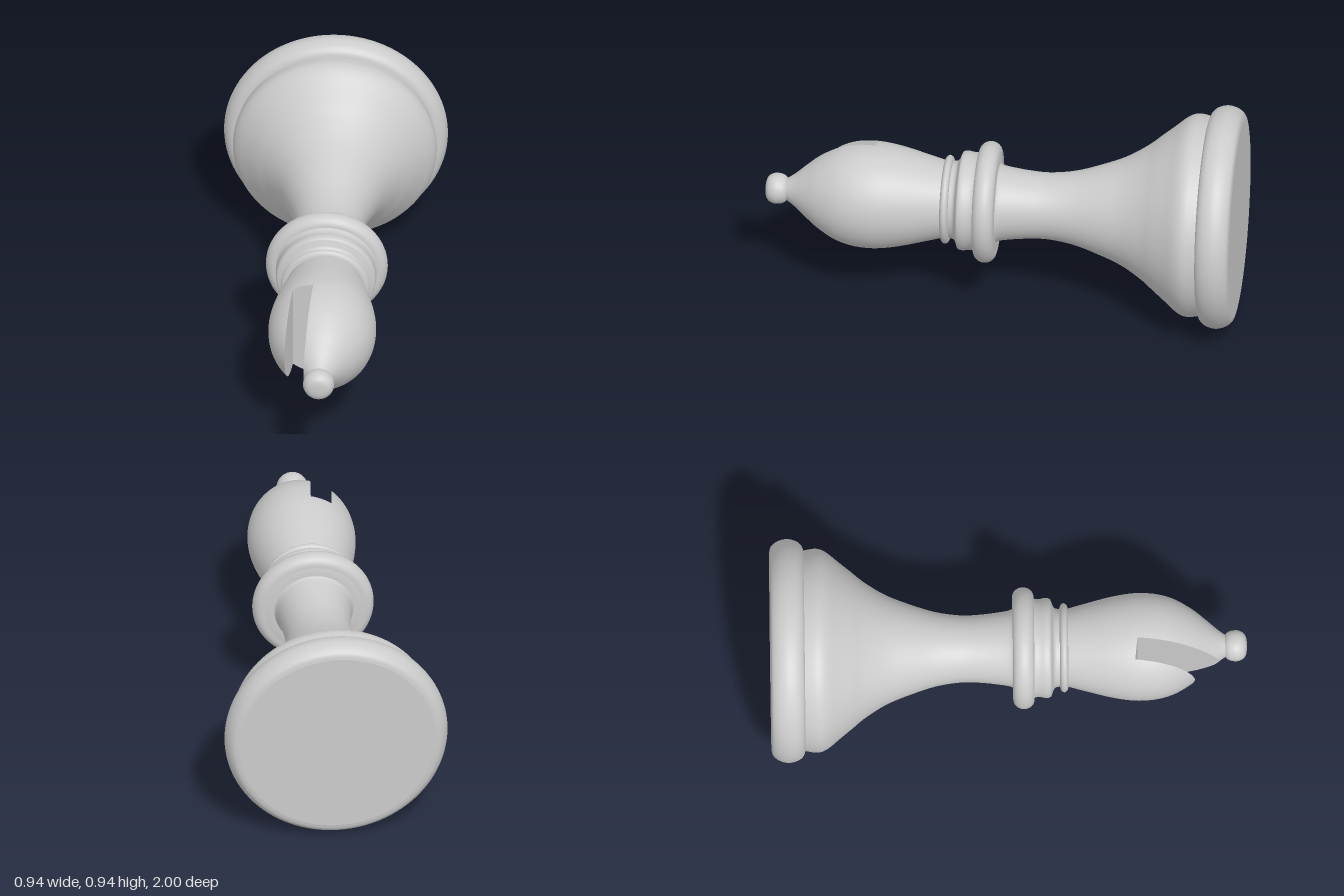
import * as THREE from 'three';

const AXIS_Y = 0.471;
const material = new THREE.MeshStandardMaterial({ color: 0xcccccc, side: THREE.DoubleSide });

// Head outline as [z, radius], read with smooth Hermite interpolation
const HEAD = [[0.24, 0.162], [0.27, 0.17], [0.33, 0.186], [0.42, 0.209], [0.5, 0.223], [0.56, 0.226], [0.63, 0.219],
  [0.7, 0.197], [0.775, 0.153], [0.83, 0.109], [0.88, 0.067], [0.92, 0.04]];

function headRadius(z) {
  const last = HEAD.length - 1;
  const slope = i => {
    const a = HEAD[Math.max(i - 1, 0)], b = HEAD[Math.min(i + 1, last)];
    return (b[1] - a[1]) / (b[0] - a[0]);
  };
  let i = 0;
  while (i < last - 1 && z > HEAD[i + 1][0]) i++;
  const [z0, r0] = HEAD[i], [z1, r1] = HEAD[i + 1];
  const h = z1 - z0, t = THREE.MathUtils.clamp((z - z0) / h, 0, 1), t2 = t * t, t3 = t2 * t;
  return (2 * t3 - 3 * t2 + 1) * r0 + (t3 - 2 * t2 + t) * h * slope(i)
    + (3 * t2 - 2 * t3) * r1 + (t3 - t2) * h * slope(i + 1);
}

// Slot: two leaning side planes and a tilted floor
const FLOOR = 0.545, TILT = 0.12, TOP = 0.915, BOTTOM = 0.24;
const slotOuter = z => -0.124 - 0.105 * (z - 0.53);
const slotInner = z => -0.038 - 0.084 * (z - 0.54);

// Slices are tilted like the floor at the slot and level at both ends
const tiltAt = t => TILT * (t < FLOOR ? (t - BOTTOM) / (FLOOR - BOTTOM) : (TOP - t) / (TOP - FLOOR));

// Point on the head skin, on slice t at an angle around the axis
function skinPoint(t, angle) {
  let z = t;
  for (let i = 0; i < 12; i++) z = t + tiltAt(t) * headRadius(z) * Math.cos(angle);
  const r = headRadius(z);
  return new THREE.Vector3(r * Math.cos(angle), r * Math.sin(angle), z);
}

// Angle at which slice t meets a slot side
function slotAngle(t, side) {
  let z = t;
  for (let i = 0; i < 12; i++) z = t + tiltAt(t) * side(z);
  return Math.acos(THREE.MathUtils.clamp(side(z) / headRadius(z), -1, 1));
}

// Surface from point(u, v), with u and v from 0 to 1; facing is du x dv
function grid(nu, nv, point, onSkin = false) {
  const pos = [], index = [];
  for (let j = 0; j <= nv; j++) for (let i = 0; i <= nu; i++) pos.push(...point(i / nu, j / nv).toArray());
  for (let j = 0; j < nv; j++) for (let i = 0; i < nu; i++) {
    const a = j * (nu + 1) + i, b = a + 1, c = a + nu + 1, d = c + 1;
    index.push(a, b, d, a, d, c);
  }
  const g = new THREE.BufferGeometry();
  g.setAttribute('position', new THREE.Float32BufferAttribute(pos, 3));
  g.setIndex(index);
  g.computeVertexNormals();
  if (onSkin) {
    // Exact normals of the turned surface
    for (let i = 0; i < pos.length; i += 3) {
      const z = pos[i + 2], r = Math.hypot(pos[i], pos[i + 1]);
      const slope = (headRadius(z + 0.002) - headRadius(z - 0.002)) / 0.004;
      const n = new THREE.Vector3(pos[i] / r, pos[i + 1] / r, -slope).normalize();
      g.attributes.normal.setXYZ(i / 3, n.x, n.y, n.z);
    }
  }
  return g;
}

// Turned part from a [radius, z] outline, optionally smoothed by a spline
function turned(points, smooth = true) {
  let outline = points.map(p => new THREE.Vector2(p[0], p[1]));
  if (smooth) outline = new THREE.SplineCurve(outline).getPoints(points.length * 6);
  return new THREE.LatheGeometry(outline, 96).rotateX(Math.PI / 2);
}

// Half-round ring between two z values
function bead(z, halfWidth, inner, outer) {
  const points = [];
  for (let i = 0; i <= 16; i++) {
    const a = (i / 16 - 0.5) * Math.PI;
    points.push([inner + (outer - inner) * Math.cos(a), z + halfWidth * Math.sin(a)]);
  }
  return turned(points, false);
}

export function createModel() {
  const model = new THREE.Group();
  const add = (name, geometry, parent = model) => {
    const mesh = new THREE.Mesh(geometry, material);
    mesh.name = name;
    mesh.position.y = AXIS_Y;
    parent.add(mesh);
  };

  // Base
  add('baseUnderside', turned([[0, -1], [0.415, -1]], false));
  add('baseRim', turned([[0.415, -1], [0.44, -0.992], [0.461, -0.965], [0.47, -0.927],
    [0.461, -0.888], [0.44, -0.864], [0.41, -0.855]]));
  add('baseStep', turned([[0.42, -0.86], [0.426, -0.83], [0.428, -0.805], [0.422, -0.78], [0.405, -0.752],
    [0.37, -0.71], [0.33, -0.66], [0.282, -0.6], [0.228, -0.51], [0.185, -0.4], [0.155, -0.3],
    [0.141, -0.2], [0.143, -0.12], [0.152, -0.04], [0.162, 0.01], [0.178, 0.025]]));

  // Collar and neck
  add('collar', bead(0.062, 0.045, 0.16, 0.256));
  add('collarUnderside', turned([[0.15, 0.017], [0.225, 0.024]], false));
  add('collarRing', bead(0.062, 0.045, 0.215, 0.256));
  add('upperCollar', turned([[0.215, 0.095], [0.207, 0.112], [0.206, 0.13], [0.21, 0.155], [0.206, 0.174],
    [0.19, 0.182], [0.172, 0.19], [0.164, 0.205], [0.162, 0.25]]));
  add('neckRing', bead(0.232, 0.018, 0.16, 0.187));

  // Head
  const head = new THREE.Group();
  head.name = 'head';
  model.add(head);
  const lerp = THREE.MathUtils.lerp;
  add('headLower', grid(96, 32, (u, v) => skinPoint(lerp(BOTTOM, FLOOR, v), u * 2 * Math.PI), head && true), head);
  add('headMainLobe', grid(80, 60, (u, v) => {
    const t = lerp(FLOOR, TOP, v), a = slotAngle(t, slotInner);
    return skinPoint(t, lerp(-a, a, u));
  }, true), head);
  add('headSmallLobe', grid(48, 60, (u, v) => {
    const t = lerp(FLOOR, 0.81, v), a = slotAngle(t, slotOuter);
    return skinPoint(t, lerp(a, 2 * Math.PI - a, u));
  }, true), head);

  // Slot walls and floor
  const wall = (side, end, flip) => grid(2, 60, (u, v) => {
    const t = lerp(FLOOR, end, v), a = slotAngle(t, side);
    return skinPoint(t, a).lerp(skinPoint(t, -a), flip ? 1 - u : u);
  });
  add('slotInnerWall', wall(slotInner, TOP, true).scale(1, 1, 1), head);
  add('slotOuterWall', wall(slotOuter, 0.81, false), head);
  add('slotFloor', grid(16, 2, (u, v) => {
    const a = lerp(slotAngle(FLOOR, slotOuter), slotAngle(FLOOR, slotInner), u);
    return skinPoint(FLOOR, -a).lerp(skinPoint(FLOOR, a), v);
  }), head);

  // Finial
  add('finial', turned([[0.03, 0.9], [0.046, 0.908], [0.059, 0.922], [0.065, 0.945], [0.064, 0.965],
    [0.055, 0.984], [0.04, 0.995], [0.02, 0.9995], [0, 1]]));
  return model;
}
